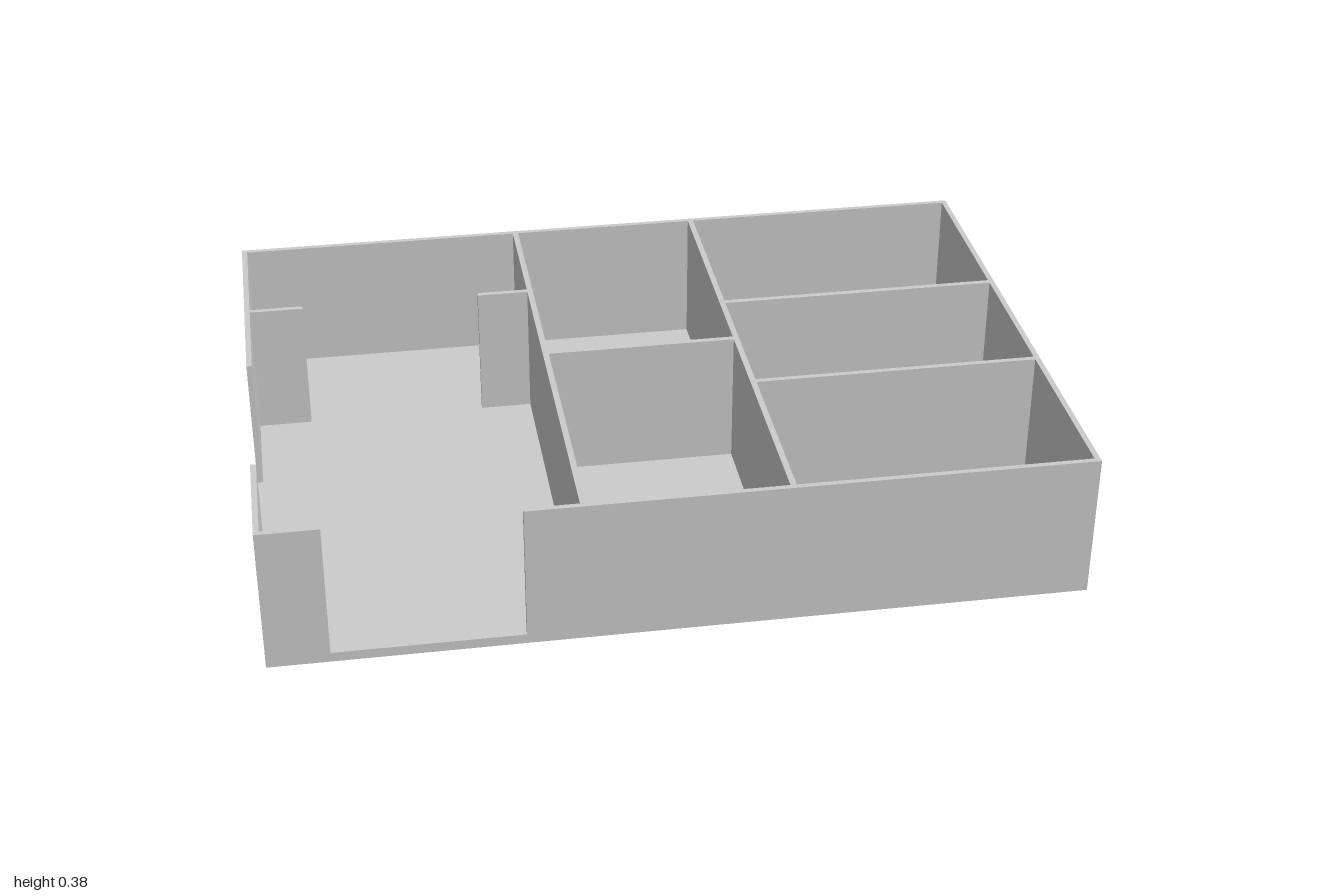
import * as THREE from 'three';

const W = 1, D = 0.706;          // half width and half depth
const FLOOR = 0.025, TOP = 0.375; // floor thickness and wall top
const T = 0.014;                  // wall thickness

export function createModel() {
  const group = new THREE.Group();
  const material = new THREE.MeshStandardMaterial({ color: 0xcccccc, flatShading: true });

  const add = (name, geometry) => {
    const mesh = new THREE.Mesh(geometry, material);
    mesh.name = name;
    group.add(mesh);
  };

  // Plan points are [x, z]; the plan is raised from the floor to the wall top.
  const toPoints = (plan) => plan.map(([x, z]) => new THREE.Vector2(x, -z));
  const raise = (plan, rooms = []) => {
    const shape = new THREE.Shape(toPoints(plan));
    for (const [x0, x1, z0, z1] of rooms) {
      shape.holes.push(new THREE.Path(toPoints([[x0, z0], [x1, z0], [x1, z1], [x0, z1]])));
    }
    return new THREE.ExtrudeGeometry(shape, { depth: TOP - FLOOR, bevelEnabled: false })
      .rotateX(-Math.PI / 2)
      .translate(0, FLOOR, 0);
  };

  // Floor slab
  add('floor', new THREE.BoxGeometry(2 * W, FLOOR, 2 * D).translate(0, FLOOR / 2, 0));

  // Openings of the large room: shared by the front wall and the inner partition
  const gapL = -0.848, gapR = -0.383;
  const sideBack = -0.063, sideFront = 0.405;
  const xi = W - T, zi = D - T;       // inner faces of the outer walls
  const hall = -0.25;                 // large room's face of the long partition
  const pBack = -0.36, pFront = pBack + T;

  // Connected walls: outline with partition stubs, five closed rooms cut out
  const plan = [
    [gapR, D], [W, D], [W, -D], [-W, -D], [-W, sideBack], [-xi, sideBack],
    [-xi, pFront], [gapL, pFront], [gapL, pBack], [-xi, pBack],
    [-xi, -zi], [hall, -zi], [hall, pBack], [gapR, pBack],
    [gapR, pFront], [hall, pFront], [hall, zi], [gapR, zi],
  ];
  const rooms = [
    [-0.235, 0.247, -zi, -0.022],
    [-0.235, 0.247, -0.007, zi],
    [0.262, xi, -zi, -0.217],
    [0.262, xi, -0.202, 0.201],
    [0.262, xi, 0.215, zi],
  ];
  add('roomWalls', raise(plan, rooms));

  // Separate front corner wall between the two openings
  add('cornerWall', raise([
    [-W, sideFront], [-W, D], [gapL, D], [gapL, zi], [-xi, zi], [-xi, sideFront],
  ]));

  return group;
}
